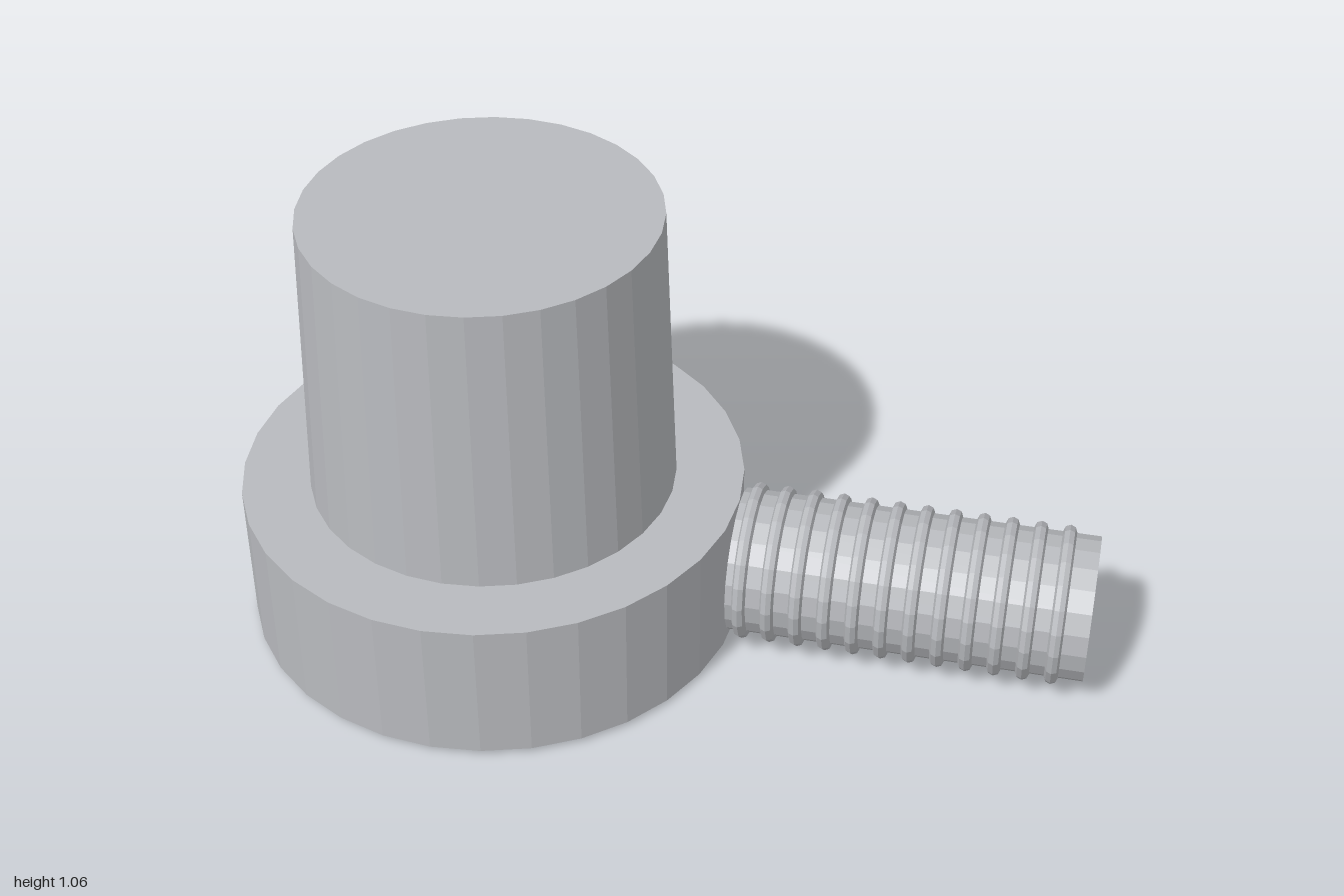
import * as THREE from 'three';

export function createModel() {
  const model = new THREE.Group();
  const grey = new THREE.MeshStandardMaterial({ color: 0xb8babe, flatShading: true });
  grey.name = 'metal grey';

  const add = (name, geometry, x, y, parent = model) => {
    const mesh = new THREE.Mesh(geometry, grey);
    mesh.name = name;
    mesh.position.set(x, y, 0);
    parent.add(mesh);
    return mesh;
  };

  // Round base disc and the tapered knob on it
  const knobX = -0.413;
  add('base', new THREE.CylinderGeometry(0.587, 0.587, 0.35, 32), knobX, 0.185);
  add('knob', new THREE.CylinderGeometry(0.404, 0.428, 0.705, 32), knobX, 0.7125);

  // Sideways threaded stud, touching the rim of the base
  const stud = new THREE.Group();
  stud.name = 'threadedStud';
  stud.position.y = 0.185;
  model.add(stud);

  const start = 0.174, end = 1;
  const shank = new THREE.CylinderGeometry(0.168, 0.168, end - start, 20).rotateZ(-Math.PI / 2);
  add('shank', shank, (start + end) / 2, 0, stud);

  // Evenly spaced thread rings
  const ring = new THREE.TorusGeometry(0.169, 0.016, 8, 20).rotateY(Math.PI / 2);
  for (let i = 0; i < 12; i++) add('threadRing', ring, 0.206 + i * 0.0656, 0, stud);

  return model;
}
